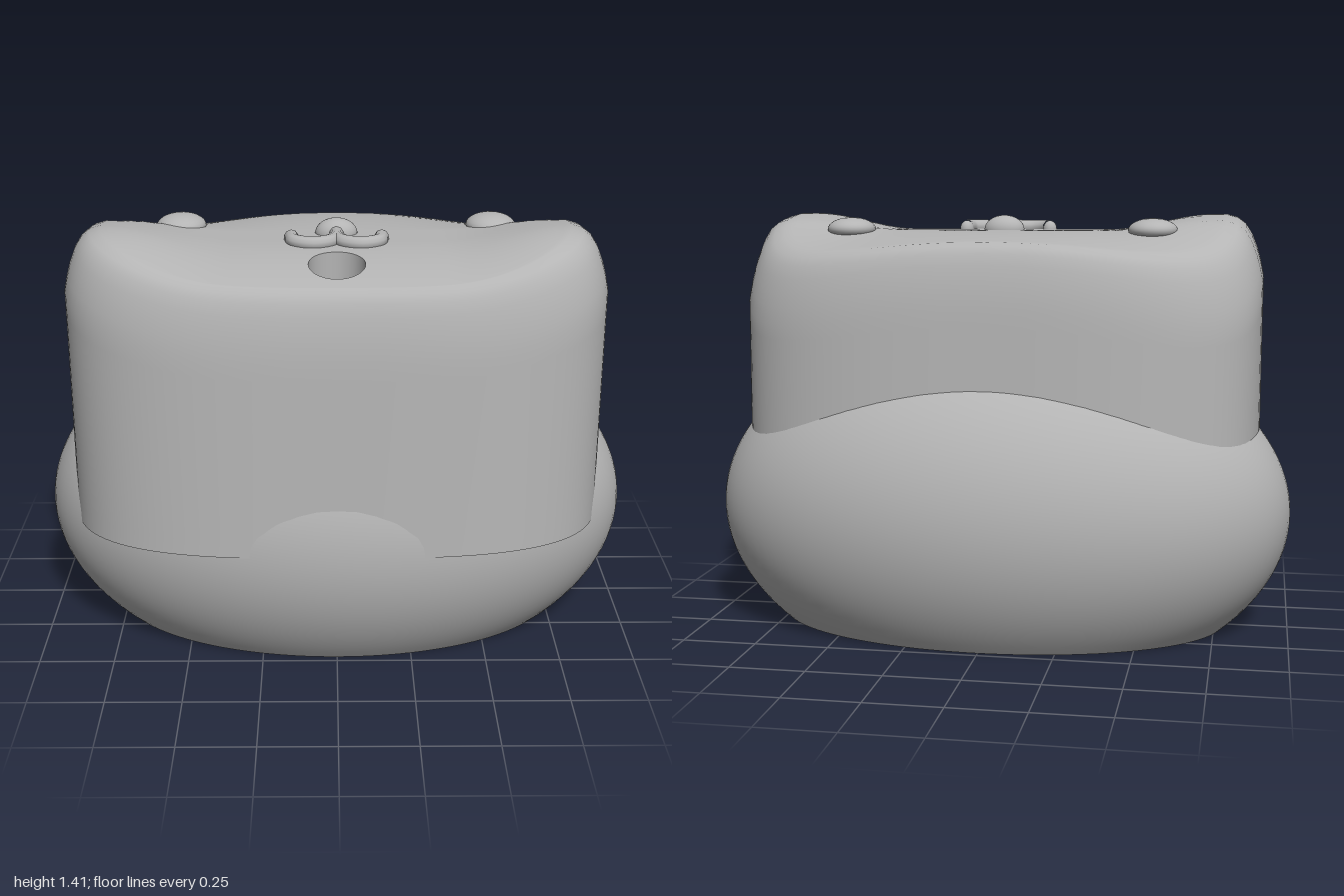
import * as THREE from 'three';

const SEG = 96;
const HOLE = { z: 0.35, r: 0.09 };
const BODY_Z = 0.07;

const smooth = THREE.MathUtils.smoothstep;

// Height of the face on top: shallow dome, raised ears at the front corners
function faceHeight(x, z) {
  const back = Math.max(0, -z), front = Math.max(0, z - 0.15);
  const ear = 0.055 * smooth(Math.abs(x), 0.35, 0.72) * Math.exp(-(((z - 0.22) / 0.3) ** 2));
  return 1.36 - 0.25 * back * back - 0.55 * x * x * back - 0.5 * front * front + ear;
}

// Rounded-rectangle outline of the upper body
function outline(a, scale, halfZ) {
  const p = 2 / 3, c = Math.cos(a), s = Math.sin(a);
  return [
    0.89 * scale * Math.sign(c) * Math.abs(c) ** p,
    BODY_Z + halfZ * scale * Math.sign(s) * Math.abs(s) ** p,
  ];
}

const holePoint = (a, y) => [HOLE.r * Math.cos(a), y, HOLE.z + HOLE.r * Math.sin(a)];

// Skin a list of closed rings, each a function angle -> [x, y, z]
function loft(rings) {
  const pos = [], index = [];
  for (const ring of rings)
    for (let i = 0; i < SEG; i++) pos.push(...ring((i / SEG) * Math.PI * 2));
  for (let j = 0; j < rings.length - 1; j++)
    for (let i = 0; i < SEG; i++) {
      const k = (i + 1) % SEG;
      const a = j * SEG + i, b = j * SEG + k, c = a + SEG, d = b + SEG;
      index.push(a, c, b, b, c, d);
    }
  const g = new THREE.BufferGeometry();
  g.setAttribute('position', new THREE.Float32BufferAttribute(pos, 3));
  g.setIndex(index);
  g.computeVertexNormals();
  return g;
}

export function createModel() {
  const group = new THREE.Group();
  const grey = new THREE.MeshStandardMaterial({ color: 0xb4b4b4 });
  grey.name = 'grey';
  const add = (name, geometry) => {
    const mesh = new THREE.Mesh(geometry, grey);
    mesh.name = name;
    group.add(mesh);
    return mesh;
  };

  // Bulging lower body: an ellipsoid cut flat at the floor
  const ellipse = (a, y) => {
    const r = Math.sqrt(1 - ((y - 0.4) / 0.64) ** 2);
    return [r * Math.cos(a), y, 0.61 * r * Math.sin(a)];
  };
  const lower = [];
  for (let j = 0; j <= 28; j++) lower.push((a) => ellipse(a, 0.87 * j / 28));
  add('lowerBody', loft(lower));

  // Flat underside around the drain hole
  add('underside', loft([(a) => holePoint(a, 0), (a) => ellipse(a, 0)]));

  // Upper body: walls, rounded rim and face in one skin
  const upper = [];
  const TOP_HALF = 0.485;
  for (let j = 0; j <= 12; j++) {
    const t = j / 12;
    upper.push((a) => {
      const [x, z] = outline(a, 1, 0.52 + (TOP_HALF - 0.52) * t);
      const top = faceHeight(x, z) - 0.2;
      return [x, 0.43 + (top - 0.43) * t, z];
    });
  }
  for (const [scale, drop] of [[0.988, 0.15], [0.975, 0.11], [0.955, 0.065], [0.93, 0.03], [0.9, 0.01], [0.86, 0]])
    upper.push((a) => {
      const [x, z] = outline(a, scale, TOP_HALF);
      return [x, faceHeight(x, z) - drop, z];
    });
  for (let j = 1; j <= 24; j++) {
    const t = j / 24;
    upper.push((a) => {
      const [x0, z0] = outline(a, 0.86, TOP_HALF);
      const [x1, , z1] = holePoint(a, 0);
      const x = x0 + (x1 - x0) * t, z = z0 + (z1 - z0) * t;
      return [x, faceHeight(x, z), z];
    });
  }
  add('upperBody', loft(upper));

  // Small ledge where the front corners overhang the lower body
  const ledgeRing = (scale) => (a) => {
    const [x, z] = outline(a, scale, 0.52);
    return [x, 0.43, z];
  };
  add('cornerLedge', loft([ledgeRing(0.8), ledgeRing(1)]));

  // Vertical hole through the whole body
  add('hole', loft([
    (a) => {
      const [x, , z] = holePoint(a, 0);
      return [x, faceHeight(x, z), z];
    },
    (a) => holePoint(a, 0),
  ]));

  // Eyes and nose: flattened domes on the face
  const button = (name, x, z, rx, ry, rz) => {
    const mesh = add(name, new THREE.SphereGeometry(1, 28, 16));
    mesh.scale.set(rx, ry, rz);
    mesh.position.set(x, faceHeight(x, z), z);
  };
  for (const s of [1, -1]) button(s > 0 ? 'leftEye' : 'rightEye', s * 0.52, -0.05, 0.083, 0.04, 0.085);
  button('nose', 0, 0.045, 0.07, 0.05, 0.053);

  // Mouth: two mirrored curls and a short stroke under the nose
  const stroke = (name, points) => {
    const path = new THREE.CatmullRomCurve3(
      points.map(([x, z]) => new THREE.Vector3(x, faceHeight(x, z) + 0.008, z)));
    add(name, new THREE.TubeGeometry(path, 24, 0.024, 10));
    for (const [x, z] of [points[0], points[points.length - 1]])
      button(name + 'End', x, z, 0.024, 0.03, 0.024);
  };
  for (const s of [1, -1])
    stroke(s > 0 ? 'leftMouth' : 'rightMouth',
      [[0, 0.14], [0.025, 0.185], [0.08, 0.205], [0.135, 0.18], [0.148, 0.125]].map(([x, z]) => [s * x, z]));
  stroke('mouthCentre', [[0, 0.08], [0, 0.11], [0, 0.15]]);

  return group;
}
